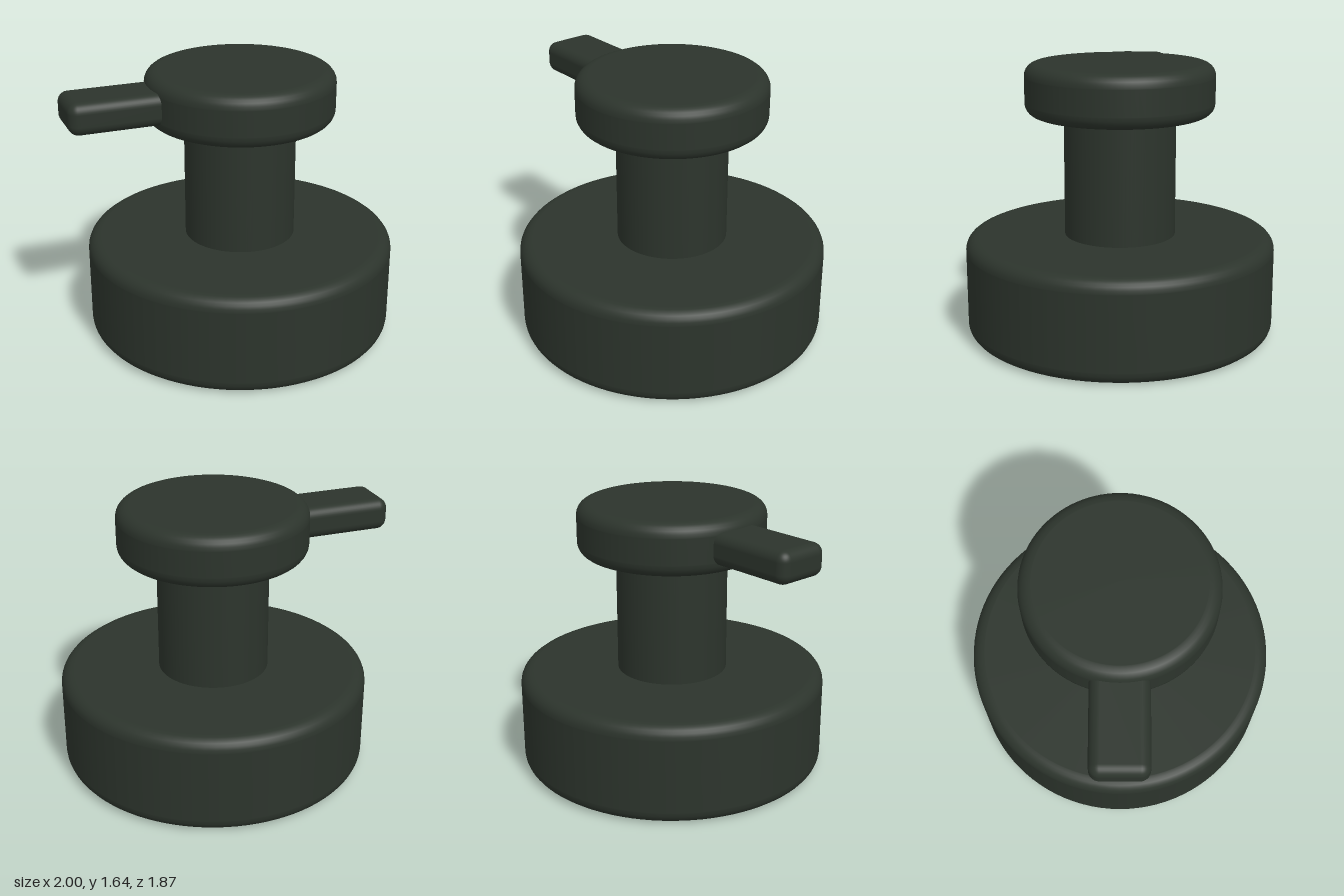
import * as THREE from 'three';
import { RoundedBoxGeometry } from 'three/addons/geometries/RoundedBoxGeometry.js';

const AXIS_X = 0.065;

// Solid disc with rounded rims, turned around the y axis
function roundedDisc(radius, y0, y1, bevel) {
  const steps = 6, hold = 0.004; // hold points keep the flat faces evenly shaded
  const points = [new THREE.Vector2(0, y0), new THREE.Vector2(radius - bevel - hold, y0)];
  const arc = (cy, from) => {
    for (let i = 0; i <= steps; i++) {
      const a = from + (i / steps) * Math.PI / 2;
      points.push(new THREE.Vector2(radius - bevel + Math.cos(a) * bevel, cy + Math.sin(a) * bevel));
    }
  };
  arc(y0 + bevel, -Math.PI / 2);
  points.push(new THREE.Vector2(radius, y0 + bevel + hold), new THREE.Vector2(radius, y1 - bevel - hold));
  arc(y1 - bevel, 0);
  points.push(new THREE.Vector2(radius - bevel - hold, y1), new THREE.Vector2(0, y1));
  return new THREE.LatheGeometry(points, 96);
}

export function createModel() {
  const group = new THREE.Group();
  const darkGreen = new THREE.MeshStandardMaterial({ color: 0x2c342c });
  darkGreen.name = 'darkGreen';

  const add = (name, geometry, x, y = 0) => {
    const mesh = new THREE.Mesh(geometry, darkGreen);
    mesh.name = name;
    mesh.position.set(x, y, 0);
    group.add(mesh);
  };

  // Wide base, neck and cap share one axis
  add('base', roundedDisc(0.935, 0, 0.605, 0.075), AXIS_X);
  add('neck', new THREE.CylinderGeometry(0.335, 0.335, 0.84, 96), AXIS_X, 0.98);
  add('cap', roundedDisc(0.565, 1.335, 1.645, 0.075), AXIS_X);

  // Spout reaching out of the cap to the right
  add('spout', new RoundedBoxGeometry(0.7, 0.19, 0.335, 5, 0.06), -0.65, 1.49);

  return group;
}
